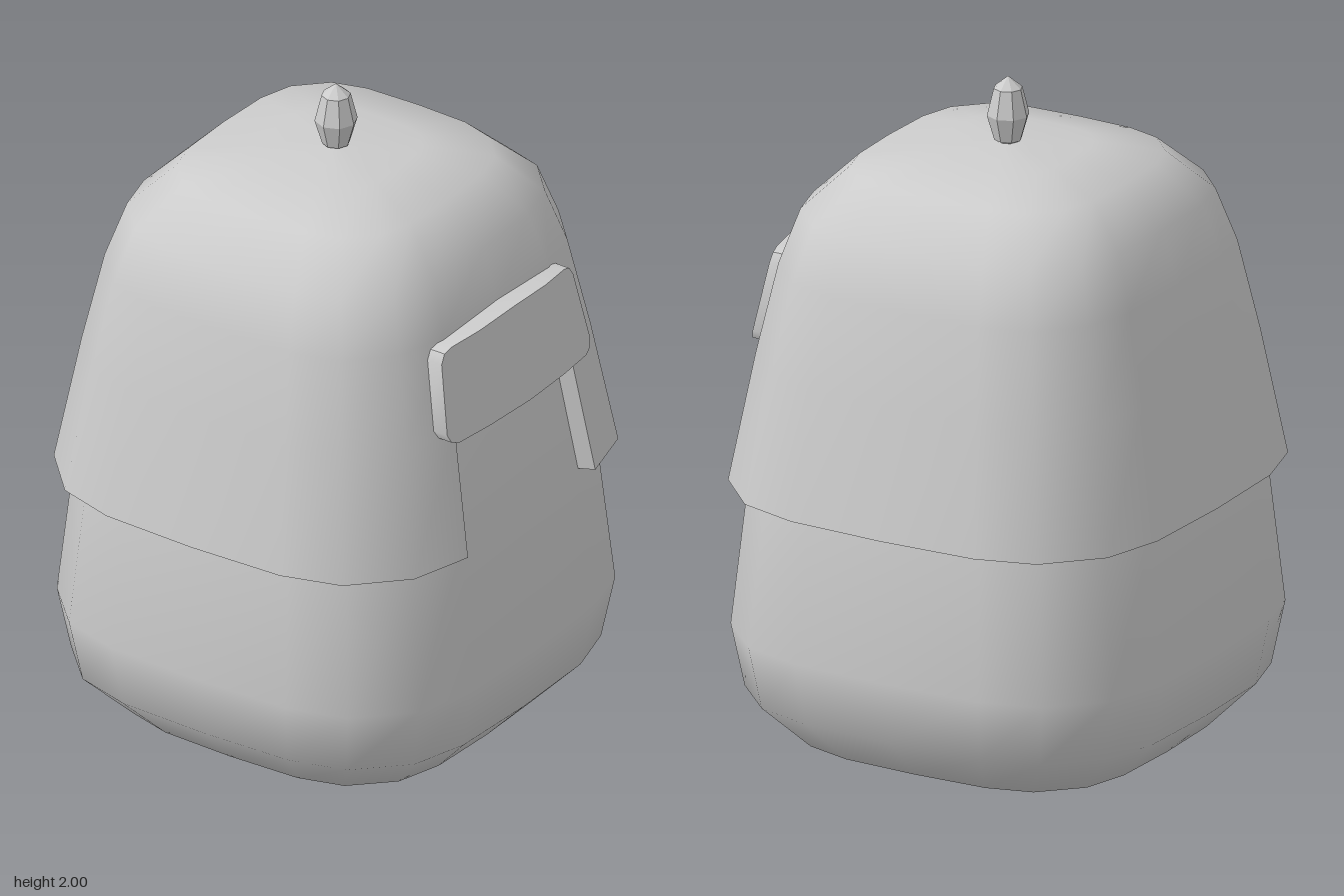
import * as THREE from 'three';
import { toCreasedNormals } from 'three/addons/utils/BufferGeometryUtils.js';

const grey = (opts = {}) => new THREE.MeshStandardMaterial({ color: 0xcccccc, ...opts });

// Rounded-square outline, one quadrant turned four times; starts at the front (+z) and runs towards +x
const QUADRANT = [[0, 1], [0.44, 0.985], [0.70, 0.91], [0.91, 0.70], [0.985, 0.435]];
const OUTLINE = [];
for (let q = 0, pts = QUADRANT; q < 4; q++) {
  OUTLINE.push(...pts);
  pts = pts.map(([x, z]) => [z, -x]);
}
const N = OUTLINE.length;
const ring = (rx, rz, y) => OUTLINE.map(([x, z]) => new THREE.Vector3(x * rx, y, z * rz));

// Skin closed loops of points; skip(row, column) leaves a hole
function skin(rows, skip = () => false) {
  const n = rows[0].length;
  const index = [];
  for (let r = 0; r < rows.length - 1; r++) {
    for (let i = 0; i < n; i++) {
      if (skip(r, i)) continue;
      const j = (i + 1) % n;
      const a = r * n + i, b = r * n + j, c = b + n, d = a + n;
      index.push(a, b, c, a, c, d);
    }
  }
  const geo = new THREE.BufferGeometry().setFromPoints(rows.flat());
  geo.setIndex(index);
  geo.computeVertexNormals();
  return geo;
}

export function createModel() {
  const model = new THREE.Group();
  const add = (name, geo, material = grey()) => {
    const mesh = new THREE.Mesh(geo, material);
    mesh.name = name;
    model.add(mesh);
  };

  // Head: [half width, height], continuing up inside the helmet
  const headRows = [
    [0, 0], [0.35, 0.005], [0.525, 0.055], [0.655, 0.19], [0.69, 0.38],
    [0.645, 0.82], [0.57, 1.25], [0.45, 1.5], [0, 1.55],
  ].map(([r, y]) => ring(r, r, y));
  add('head', skin(headRows));

  // Helmet shell with a face opening in the two front columns of its lowest band
  const shellRows = [
    [0.715, 0.688, 0.82], [0.645, 0.62, 1.2], [0.59, 0.562, 1.47], [0.53, 0.51, 1.63],
    [0.40, 0.39, 1.75], [0.22, 0.21, 1.79], [0, 0, 1.805],
  ].map(([rx, rz, y]) => ring(rx, rz, y));
  const opening = (r, i) => r === 0 && (i === 0 || i === N - 1);
  add('helmetShell', skin(shellRows, opening));

  // Inner lining of the lowest band
  const innerRows = [ring(0.65, 0.626, 0.82), ring(0.585, 0.562, 1.2)];
  add('helmetLining', skin([innerRows[1], innerRows[0]], opening));

  // Rim joining shell and lining along the brim and around the face opening
  const edgeLoop = ([low, high]) => [...low.slice(1), high[N - 1], high[0], high[1]];
  add('helmetRim', toCreasedNormals(skin([edgeLoop(innerRows), edgeLoop(shellRows)]), 0.6));

  // Visor: sections across x as [x, bottom, top], leaning back and wrapping round the front
  const half = [[0, 1.19, 1.478], [0.18, 1.189, 1.469], [0.31, 1.185, 1.462], [0.34, 1.195, 1.452], [0.355, 1.22, 1.425]];
  const sections = [...half.slice(1).reverse().map(([x, b, t]) => [-x, b, t]), ...half];
  const visorPoint = (x, y, depth) => {
    const rise = y - 1.19;
    return new THREE.Vector3(x * (1 - 0.38 * rise), y, 0.675 - 0.19 * rise - 0.28 * x * x - depth);
  };
  const visorRows = sections.map(([x, b, t]) => [
    visorPoint(x, t, 0), visorPoint(x, b, 0), visorPoint(x, b, 0.085), visorPoint(x, t, 0.075),
  ]);
  const endCap = (row) => {
    const mid = row.reduce((sum, p) => sum.add(p), new THREE.Vector3()).divideScalar(4);
    return row.map(() => mid.clone());
  };
  visorRows.unshift(endCap(visorRows[0]));
  visorRows.push(endCap(visorRows[visorRows.length - 1]));
  add('visor', toCreasedNormals(skin(visorRows), 0.6));

  // Faceted finial on the crown
  const finial = [[0, 1.79], [0.04, 1.81], [0.062, 1.885], [0.042, 1.965], [0, 2]].map(([r, y]) => new THREE.Vector2(r, y));
  add('finial', new THREE.LatheGeometry(finial, 8), grey({ flatShading: true }));

  return model;
}
